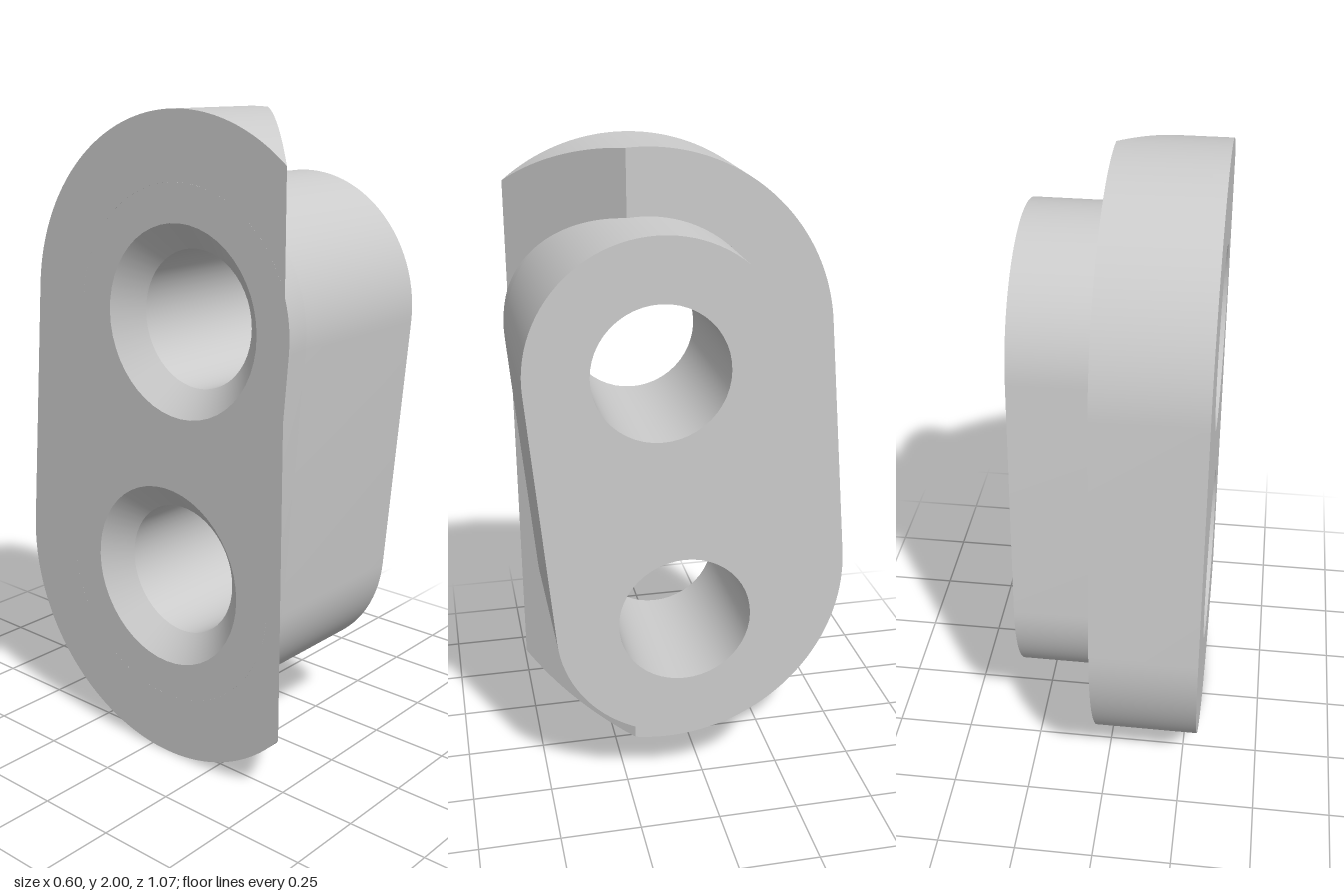
import * as THREE from 'three';
import { toCreasedNormals } from 'three/addons/utils/BufferGeometryUtils.js';

// Profiles are drawn as (z, y) and extruded along -x.
const UP = { z: 0.136, y: 1.4 }, LOW = { z: 0.068, y: 0.6 };
const TILT = -Math.atan2(UP.z - LOW.z, UP.y - LOW.y);
const R_IN = 0.4, R_OUT = 0.6, R_HOLE = 0.207, R_SINK = 0.286;
const BACK = -0.3, STEP = 0.033, FRONT = 0.3, SINK_DEPTH = 0.075;
const CUT = 0.185, EDGE = 0.518; // z where the chamfer starts and ends

const grey = new THREE.MeshStandardMaterial({ color: 0xcccccc });
const inside = new THREE.MeshStandardMaterial({ color: 0xcccccc, side: THREE.BackSide });

const arc = (s, c, r, a, b) => s.absarc(c.z, c.y, r, a, b, b < a);
// angle on an arc at which it reaches a given z
const at = (c, r, z) => Math.acos((z - c.z) / r);

function slotShape(r, holeRadius) {
  const s = new THREE.Shape();
  arc(s, UP, r, TILT, TILT + Math.PI);
  arc(s, LOW, r, TILT + Math.PI, TILT + 2 * Math.PI);
  s.closePath();
  for (const c of [UP, LOW]) {
    s.holes.push(new THREE.Path().absarc(c.z, c.y, holeRadius, 0, 2 * Math.PI, true));
  }
  return s;
}

function slab(name, shape, x0, x1, chamfer = false) {
  const g = new THREE.ExtrudeGeometry(shape, { depth: x1 - x0, bevelEnabled: false, curveSegments: 24 });
  g.translate(0, 0, -x1);
  if (chamfer) {
    // slope the front side at 45 degrees
    const p = g.attributes.position;
    for (let i = 0; i < p.count; i++) {
      if (p.getZ(i) < -x0 - 1e-4) p.setZ(i, Math.min(-x0, p.getX(i) - CUT - STEP));
    }
  }
  g.rotateY(-Math.PI / 2);
  g.deleteAttribute('uv');
  const mesh = new THREE.Mesh(toCreasedNormals(g, 0.45), grey);
  mesh.name = name;
  return mesh;
}

export function createModel() {
  const model = new THREE.Group();
  model.name = 'slottedBracket';

  // Central body with two through holes, wider at the back for the countersinks
  model.add(slab('body', slotShape(R_IN, R_HOLE), BACK + SINK_DEPTH, FRONT));
  model.add(slab('bodyBack', slotShape(R_IN, R_SINK), BACK, BACK + SINK_DEPTH));
  for (const [c, name] of [[UP, 'upperCountersink'], [LOW, 'lowerCountersink']]) {
    const cone = new THREE.CylinderGeometry(R_HOLE, R_SINK, SINK_DEPTH, 48, 1, true);
    cone.rotateZ(-Math.PI / 2);
    const mesh = new THREE.Mesh(cone, inside);
    mesh.position.set(BACK + SINK_DEPTH / 2, c.y, c.z);
    mesh.name = name;
    model.add(mesh);
  }

  // Flange around the body, full thickness behind the chamfer line
  const rim = new THREE.Shape();
  const side = TILT + Math.PI, turn = 2 * Math.PI;
  arc(rim, UP, R_OUT, at(UP, R_OUT, CUT), side);
  arc(rim, LOW, R_OUT, side, turn - at(LOW, R_OUT, CUT));
  arc(rim, LOW, R_IN, turn - at(LOW, R_IN, CUT), side);
  arc(rim, UP, R_IN, side, at(UP, R_IN, CUT));
  rim.closePath();
  model.add(slab('flange', rim, BACK, STEP));

  // Chamfered flange ends above and below the body
  const top = new THREE.Shape();
  arc(top, UP, R_OUT, at(UP, R_OUT, EDGE), at(UP, R_OUT, CUT));
  arc(top, UP, R_IN, at(UP, R_IN, CUT), at(UP, R_IN, EDGE));
  top.closePath();
  model.add(slab('upperChamfer', top, BACK, STEP, true));

  const bottom = new THREE.Shape();
  const tz = LOW.z + R_IN * Math.cos(TILT), ty = LOW.y + R_IN * Math.sin(TILT);
  arc(bottom, LOW, R_OUT, -at(LOW, R_OUT, CUT), -at(LOW, R_OUT, EDGE));
  bottom.lineTo(EDGE, ty + (EDGE - tz) / Math.tan(-TILT));
  arc(bottom, LOW, R_IN, TILT, -at(LOW, R_IN, CUT));
  bottom.closePath();
  model.add(slab('lowerChamfer', bottom, BACK, STEP, true));

  return model;
}
